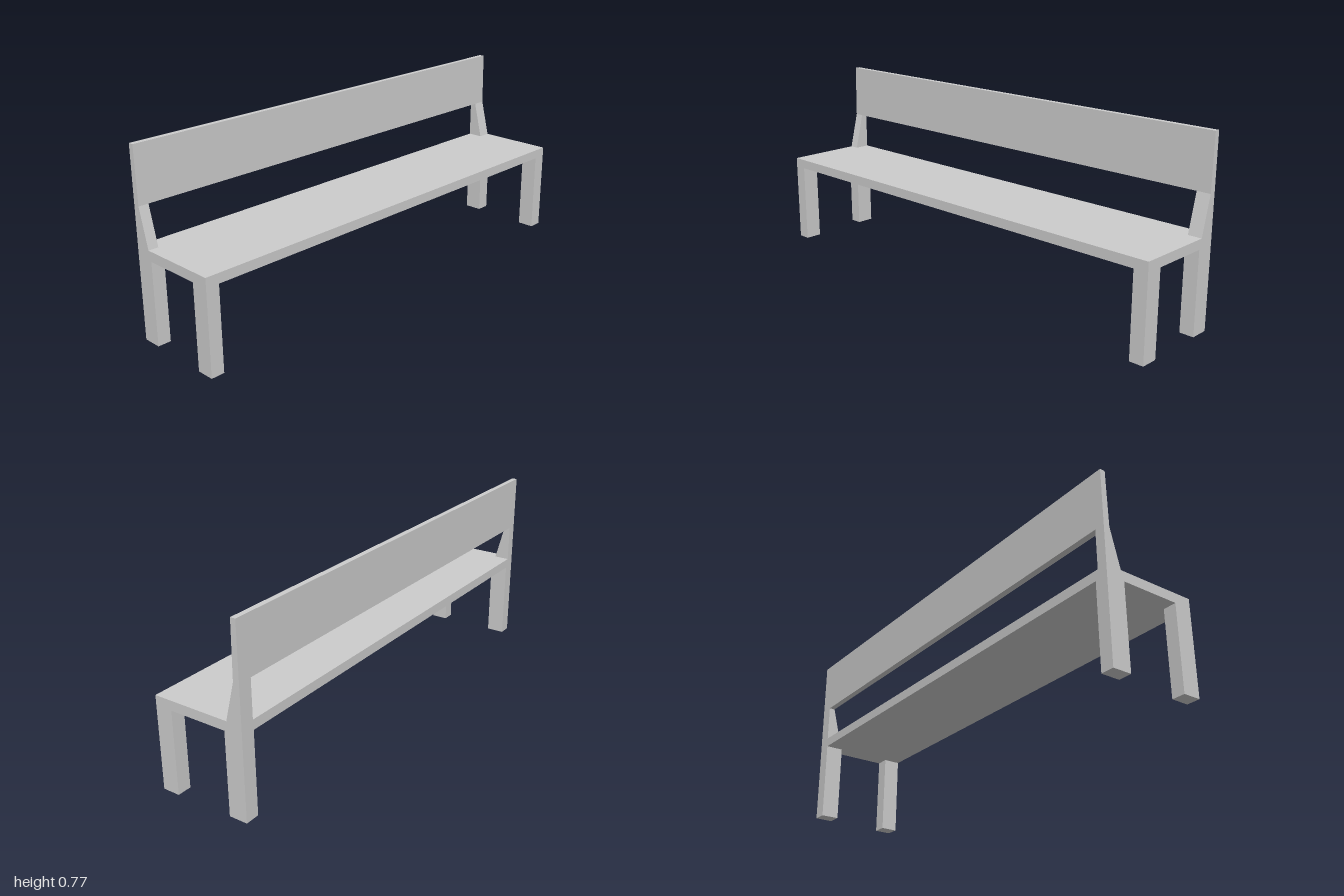
import * as THREE from 'three';

const material = new THREE.MeshStandardMaterial({ color: 0xcccccc, flatShading: true });

// Extrudes an x/y outline along z between z0 and z1
function slab(name, points, z0, z1) {
  const shape = new THREE.Shape(points.map(([x, y]) => new THREE.Vector2(x, y)));
  const geometry = new THREE.ExtrudeGeometry(shape, { depth: z1 - z0, bevelEnabled: false });
  geometry.translate(0, 0, z0);
  const mesh = new THREE.Mesh(geometry, material);
  mesh.name = name;
  return mesh;
}

const rect = (x0, x1, y0, y1) => [[x0, y0], [x1, y0], [x1, y1], [x0, y1]];

export function createModel() {
  const bench = new THREE.Group();
  bench.name = 'bench';

  const back = -0.198, front = 0.198;
  const seatBottom = 0.347, seatTop = 0.387, backrestBottom = 0.545, top = 0.775;

  // Long plank seat and the raised backrest board
  bench.add(slab('seat', rect(back, front, seatBottom, seatTop), -1, 1));
  bench.add(slab('backrest', [
    [back, backrestBottom], [-0.172, backrestBottom], [-0.176, top], [back, top],
  ], -1, 1));

  // Legs and tapered backrest supports at both ends
  const ends = [
    { side: 'left', leg: [0.945, 1], support: [0.958, 1] },
    { side: 'right', leg: [-1, -0.94], support: [-1, -0.942] },
  ];
  for (const { side, leg, support } of ends) {
    const frame = new THREE.Group();
    frame.name = side + 'EndFrame';
    frame.add(slab('frontLeg', rect(0.125, front, 0, seatBottom), ...leg));
    frame.add(slab('backLeg', rect(back, -0.12, 0.005, seatBottom), ...leg));
    frame.add(slab('backrestSupport', [
      [back, seatTop], [-0.132, seatTop], [-0.172, backrestBottom], [back, backrestBottom],
    ], ...support));
    bench.add(frame);
  }
  return bench;
}
